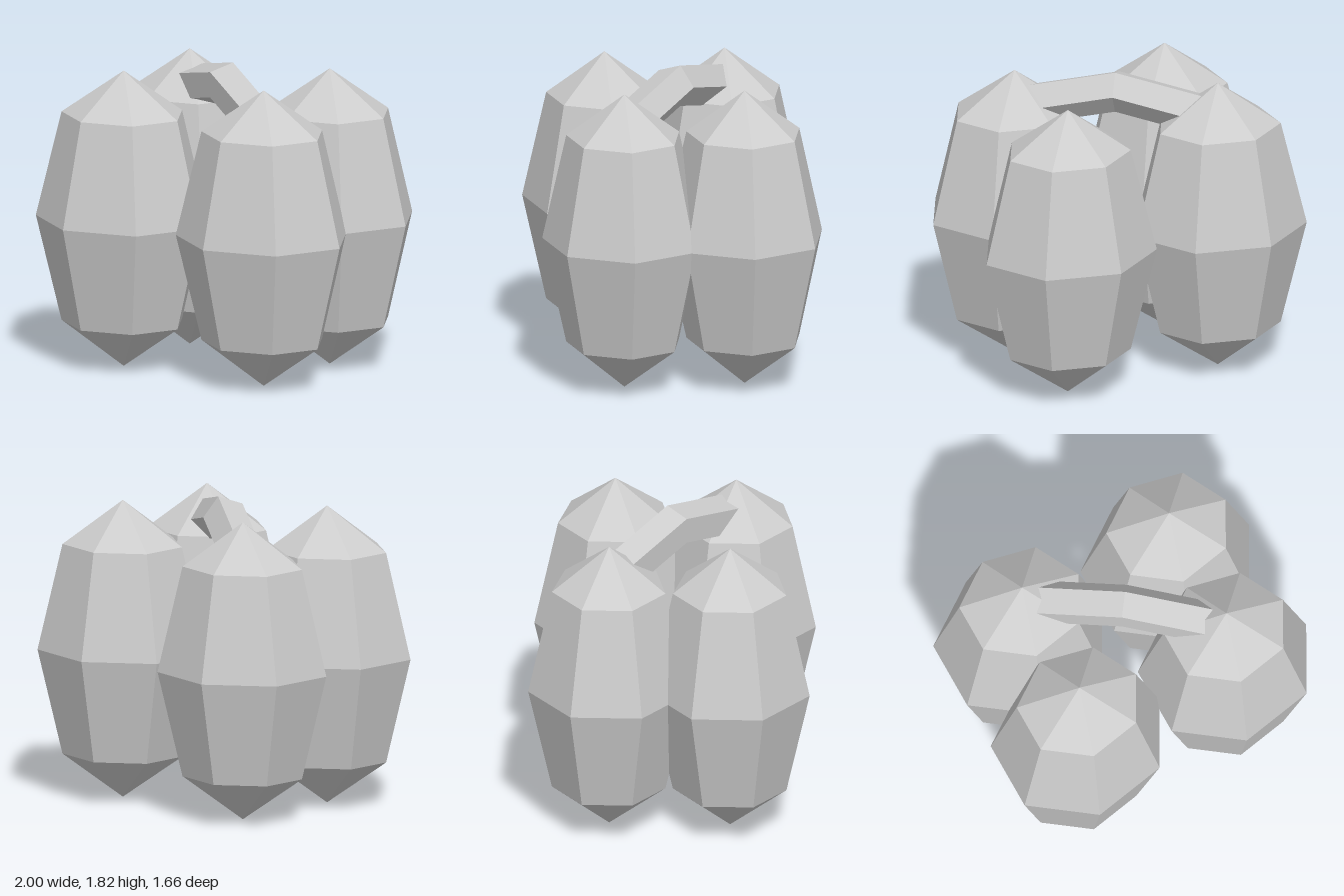
import * as THREE from 'three';

export function createModel() {
  const model = new THREE.Group();
  model.name = 'podCluster';
  const grey = new THREE.MeshStandardMaterial({ color: 0xcccccc, flatShading: true });
  grey.name = 'grey';

  // Seven-sided pod, pointed at both ends and slightly narrower in depth
  const profile = [[0, 0], [0.378, 0.265], [0.534, 0.893], [0.378, 1.525], [0, 1.785]]
    .map(([r, y]) => new THREE.Vector2(r, y));
  const podGeometry = new THREE.LatheGeometry(profile, 7, Math.PI / 2);
  podGeometry.scale(1, 1, 0.91);

  const left = 0.466, right = -0.519, depth = 0.357;
  for (const [sideName, x] of [['Left', left], ['Right', right]]) {
    for (const [endName, z] of [['front', depth], ['back', -depth]]) {
      const pod = new THREE.Mesh(podGeometry, grey);
      pod.name = `${endName}${sideName}Pod`;
      pod.position.set(x, 0, z);
      model.add(pod);
    }
  }

  // Five-sided handle bent at its middle, joining two pods diagonally
  const handleGeometry = new THREE.CylinderGeometry(0.13, 0.13, 1.16, 5, 2);
  handleGeometry.rotateZ(Math.PI / 2);
  const p = handleGeometry.attributes.position;
  for (let i = 0; i < p.count; i++) p.setY(i, p.getY(i) - 0.22 * Math.abs(p.getX(i)));
  handleGeometry.computeVertexNormals();
  const handle = new THREE.Mesh(handleGeometry, grey);
  handle.name = 'handle';
  handle.position.set((left + right) / 2, 1.7, 0);
  handle.rotation.y = Math.PI - Math.atan2(2 * depth, left - right);
  model.add(handle);

  return model;
}
